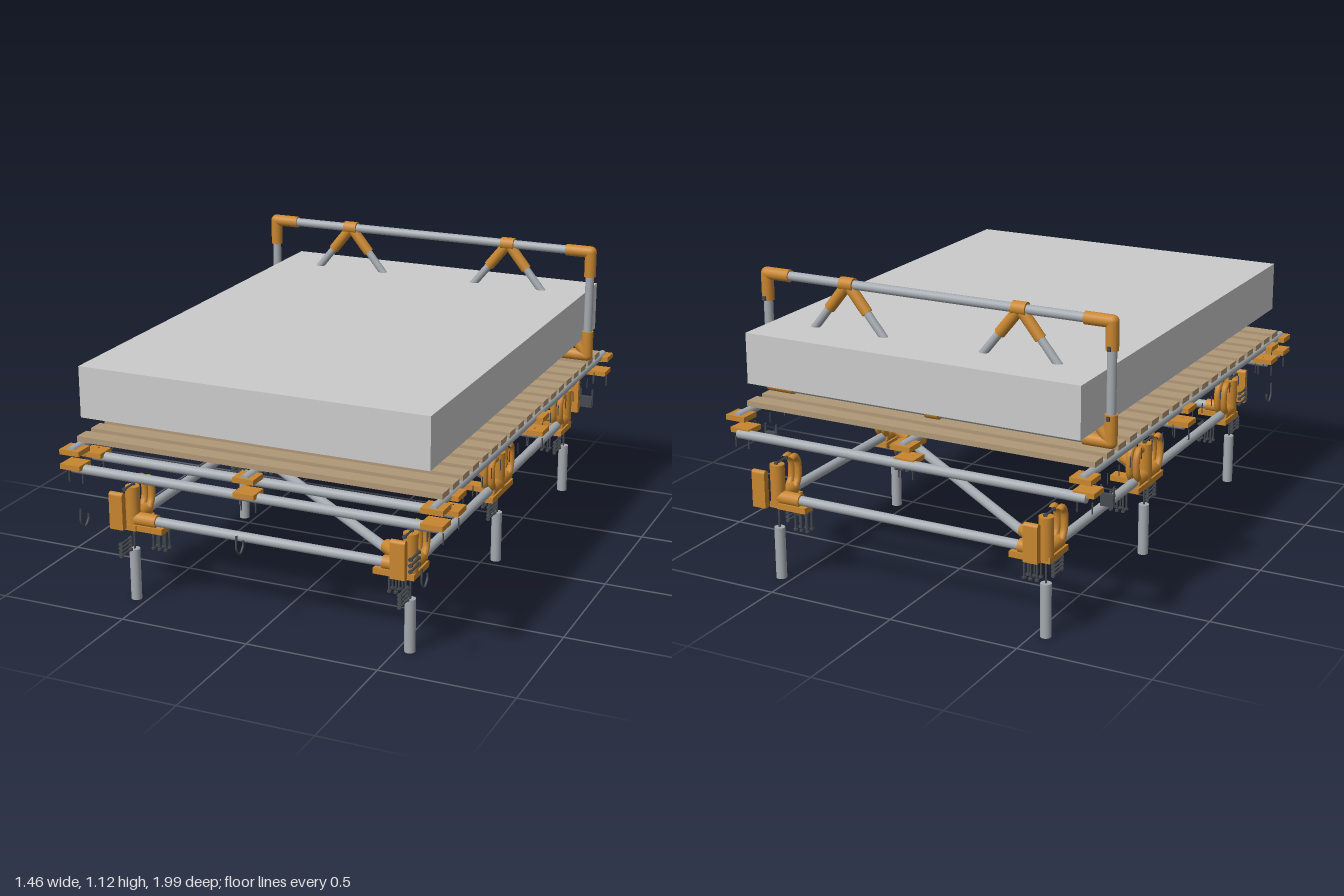
import * as THREE from 'three';

const mat = (color) => new THREE.MeshStandardMaterial({ color });
const steel = mat(0xa4aab0), brass = mat(0xc8862f), wood = mat(0xb09878), dark = mat(0x464b50), grey = mat(0xcccccc);
const V = (x, y, z) => new THREE.Vector3(x, y, z);

export function createModel() {
  const root = new THREE.Group();

  function add(name, geometry, material, parent = root) {
    const m = new THREE.Mesh(geometry, material);
    m.name = name;
    parent.add(m);
    return m;
  }
  function box(name, w, h, d, x, y, z, material, parent) {
    const m = add(name, new THREE.BoxGeometry(w, h, d), material, parent);
    m.position.set(x, y, z);
    return m;
  }
  // Round bar between two points
  function bar(name, a, b, r, material, parent, sides = 20) {
    const d = b.clone().sub(a);
    const m = add(name, new THREE.CylinderGeometry(r, r, d.length(), sides), material, parent);
    m.position.copy(a).addScaledVector(d, 0.5);
    m.quaternion.setFromUnitVectors(V(0, 1, 0), d.normalize());
    return m;
  }
  function ball(name, p, r, material, parent) {
    const m = add(name, new THREE.SphereGeometry(r, 18, 12), material, parent);
    m.position.copy(p);
    return m;
  }
  function tube(name, pts, r, material, parent) {
    return add(name, new THREE.TubeGeometry(new THREE.CatmullRomCurve3(pts), 18, r, 10), material, parent);
  }
  // Socket of a fitting: starts at a and reaches length l towards b
  function socket(a, b, l, r, parent) {
    const dir = b.clone().sub(a).normalize();
    return bar('pipeSocket', a, a.clone().addScaledVector(dir, l), r, brass, parent);
  }
  // Bolt with a head and a nut
  function bolt(a, b, parent) {
    const d = b.clone().sub(a).normalize().multiplyScalar(0.007);
    bar('boltShank', a, b, 0.004, dark, parent, 8);
    bar('boltHead', a, a.clone().add(d), 0.008, dark, parent, 6);
    bar('boltNut', b.clone().sub(d), b, 0.008, dark, parent, 6);
  }

  box('mattress', 1.33, 0.19, 1.81, 0, 0.825, 0.045, grey);

  // Slats and their screws
  for (let i = 0; i < 19; i++) {
    const z = 0.896 - i * 0.0937;
    box('slat', 1.4, 0.021, 0.062, 0, 0.637, z, wood);
    for (const x of [-0.69, 0.69]) bar('slatScrew', V(x, 0.525, z), V(x, 0.565, z), 0.002, dark, root, 6);
  }

  // Headboard frame with zigzag braces
  const head = new THREE.Group();
  head.name = 'headboard';
  root.add(head);
  const hz = -0.675, top = 1.095, low = 0.67, hx = 0.69;
  const zig = [V(-hx, low, hz), V(-hx / 2, top, hz), V(0, low, hz), V(hx / 2, top, hz), V(hx, low, hz)];
  for (const y of [low, top]) bar('headRail', V(-hx, y, hz), V(hx, y, hz), 0.017, steel, head);
  for (const s of [-1, 1]) {
    bar('headPost', V(s * hx, low, hz), V(s * hx, top, hz), 0.017, steel, head);
    for (const y of [low, top]) {
      const c = V(s * hx, y, hz), dy = y === low ? 1 : -1;
      ball('headElbow', c, 0.023, brass, head);
      socket(c, V(0, y, hz), 0.1, 0.023, head);
      socket(c, V(s * hx, y + dy, hz), 0.1, 0.023, head);
      box('setScrew', 0.012, 0.016, 0.012, s * hx, y + dy * 0.09, hz - 0.024, dark, head);
    }
  }
  for (let i = 0; i < 4; i++) {
    bar('headBrace', zig[i], zig[i + 1], 0.015, steel, head);
    socket(zig[i], zig[i + 1], 0.125, 0.021, head);
    socket(zig[i + 1], zig[i], 0.125, 0.021, head);
  }
  for (const p of zig.slice(1, 4)) bar('braceCollar', V(p.x - 0.027, p.y, hz), V(p.x + 0.027, p.y, hz), 0.025, brass, head);

  // Bed frame: three long rails above four cross pipes, saddles where they cross
  const saddleZ = [0.962, 0.82, -0.05, -0.875];
  for (const x of [-0.69, 0, 0.69]) {
    bar('longRail', V(x, 0.612, -0.9), V(x, 0.612, 0.99), 0.016, steel);
    saddleZ.forEach((z, i) => {
      if (x === 0 && (i === 1 || i === 2)) return;
      const lz = i === 3 ? -0.85 : z;
      box('upperSaddle', 0.08, 0.019, 0.076, x, 0.608, z, brass);
      bar('saddlePeg', V(x, 0.59, z), V(x, 0.602, z), 0.018, steel);
      box('lowerSaddle', 0.08, 0.019, 0.076, x, 0.553, lz, brass);
      for (const s of [-1, 1]) bar('saddleBolt', V(x + s * 0.028, 0.485, z), V(x + s * 0.028, 0.525, z), 0.003, dark, root, 8);
    });
  }
  for (const z of [0.962, 0.82, -0.05, -0.88]) bar('crossPipe', V(-0.7, 0.54, z), V(0.7, 0.54, z), 0.018, steel);

  // Clamp blocks under the headboard posts
  for (const s of [-1, 1]) {
    box('clampBlock', 0.05, 0.045, 0.016, s * 0.69, 0.468, -0.695, dark);
    for (const t of [-1, 1]) bar('clampRod', V(s * 0.69 + t * 0.024, 0.45, -0.695), V(s * 0.69 + t * 0.024, 0.52, -0.695), 0.004, dark, root, 8);
  }

  // Hanging U bolts
  for (const x of [-0.66, -0.035, 0.655]) {
    tube('uBolt', [V(x, 0.4, 0.99), V(x, 0.345, 0.99), V(x, 0.322, 0.965), V(x, 0.345, 0.94), V(x, 0.365, 0.94)], 0.004, dark);
  }

  // Base frame: legs, pipes and diagonals
  const bx = 0.545, by = 0.32, legZ = [0.82, -0.05, -0.87];
  const pipes = [
    [V(-bx, by, legZ[0]), V(bx, by, legZ[0])],
    [V(-bx, by, legZ[2]), V(bx, by, legZ[2])],
    [V(bx, by, legZ[0]), V(-bx, by, legZ[1])],
    [V(bx, by, legZ[1]), V(-bx, by, legZ[2])],
  ];
  for (const x of [-bx, bx]) for (let i = 0; i < 2; i++) pipes.push([V(x, by, legZ[i]), V(x, by, legZ[i + 1])]);
  pipes.forEach(([a, b], i) => {
    bar('basePipe', a, b, 0.018, steel);
    const diagonal = i === 2 || i === 3;
    const l = diagonal ? 0.17 : 0.1;
    const ends = [socket(a, b, l, 0.025, root), socket(b, a, l, 0.025, root)];
    if (diagonal) for (const e of ends) e.position.y += 0.012;
  });

  for (const s of [-1, 1]) {
    legZ.forEach((z, i) => {
      const x = s * bx, joint = new THREE.Group();
      joint.name = 'legJoint';
      root.add(joint);
      bar('leg', V(x, 0, z), V(x, 0.2, z), 0.02, steel, joint);
      bar('legPin', V(x, 0.2, z), V(x, 0.27, z), 0.004, dark, joint, 8);
      bar('jointPost', V(x, 0.29, z), V(x, 0.445, z), 0.027, brass, joint);

      // Split lower halves of the joint, along the side and towards the middle
      const z0 = i === 0 ? 0.85 : i === 1 ? 0.07 : -0.75;
      const z1 = i === 0 ? 0.71 : i === 1 ? -0.16 : -0.89;
      box('lowerShell', 0.05, 0.022, z0 - z1, x, 0.291, (z0 + z1) / 2, brass, joint);
      box('lowerShellArm', 0.12, 0.022, 0.05, x - s * 0.07, 0.291, z, brass, joint);

      // Curved upper shells either side of the post
      for (const t of [-1, 1]) {
        const outer = (i === 0 && t === 1) || (i === 2 && t === -1);
        const zc = z + t * 0.108;
        if (outer) {
          box('outerShell', 0.054, 0.13, 0.025, x, 0.383, zc, brass, joint);
          bar('outerShellCap', V(x - 0.027, 0.446, zc), V(x + 0.027, 0.446, zc), 0.0125, brass, joint);
        } else {
          for (const o of [-0.014, 0.014]) {
            tube('hookShell', [V(x + o, 0.44, z + t * 0.065), V(x + o, 0.447, z + t * 0.09), V(x + o, 0.425, zc), V(x + o, 0.36, zc), V(x + o, 0.33, z + t * 0.09)], 0.0135, brass, joint);
          }
        }
      }

      // Loose bolts around the joint
      const bz = [0.92, 0.05, -0.745][i], vz = [0.77, -0.1, -0.81][i];
      for (let k = 0; k < 4; k++) bolt(V(x, 0.206 + k * 0.015, bz), V(x, 0.206 + k * 0.015, bz - 0.075), joint);
      for (let k = 0; k < 3; k++) {
        for (const dz of [0, -0.03]) {
          const px = x - s * (0.05 + k * 0.025);
          bolt(V(px, 0.262, vz + dz), V(px, 0.185, vz + dz), joint);
        }
        if (i === 0) bolt(V(x + s * 0.035, 0.34 + k * 0.022, 0.91), V(x + s * 0.035, 0.34 + k * 0.022, 0.83), joint);
      }
      bolt(V(x, 0.45, z + 0.06), V(x, 0.45, z - 0.01), joint);
    });
  }
  return root;
}
